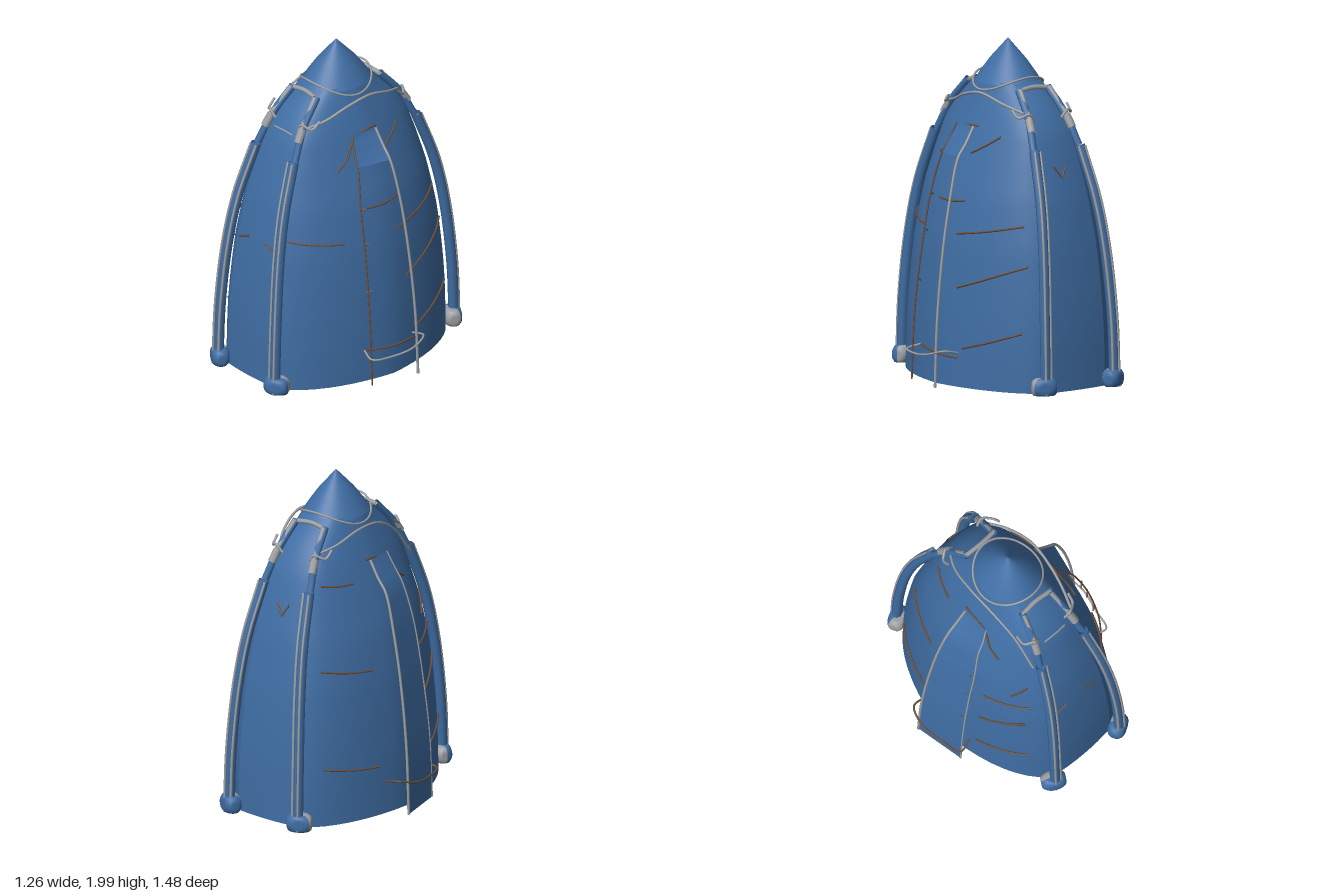
import * as THREE from 'three';

const mat = (name, color) => {
  const m = new THREE.MeshStandardMaterial({ color, side: THREE.DoubleSide });
  m.name = name;
  return m;
};
const V = (x, y, z) => new THREE.Vector3(x, y, z);

// Shell levels: height, side reach, corner x, corner z, front reach
const LEVELS = [
  [0, 0.515, 0.215, 0.645, 0.66], [0.4, 0.5, 0.21, 0.635, 0.65], [0.8, 0.465, 0.195, 0.595, 0.61],
  [1.1, 0.41, 0.175, 0.535, 0.555], [1.33, 0.335, 0.155, 0.465, 0.485], [1.5, 0.27, 0.135, 0.4, 0.42],
  [1.65, 0.21, 0.11, 0.29, 0.315], [1.75, 0.17, 0.095, 0.18, 0.205],
];
// Panel rails: height, back x, back z, front x, front z
const RAILS = [
  [0, 0.61, -0.1, 0.55, 0.2], [0.4, 0.59, -0.095, 0.53, 0.2], [0.8, 0.54, -0.085, 0.48, 0.19],
  [1.1, 0.48, -0.075, 0.425, 0.18], [1.33, 0.41, -0.06, 0.365, 0.15], [1.4, 0.355, -0.057, 0.325, 0.14],
  [1.5, 0.29, -0.05, 0.28, 0.12],
];

// Smooth interpolation of a table by its first column
function sample(table, y) {
  return table[0].slice(1).map((_, k) => {
    let i = 0;
    while (i < table.length - 2 && y > table[i + 1][0]) i++;
    const t = (y - table[i][0]) / (table[i + 1][0] - table[i][0]);
    const p = j => table[Math.max(0, Math.min(table.length - 1, j))][k + 1];
    const a = p(i - 1), b = p(i), c = p(i + 1), d = p(i + 2);
    return b + 0.5 * t * (c - a + t * (2 * a - 5 * b + 4 * c - d + t * (3 * (b - c) + d - a)));
  });
}

// Side wall: t runs from the back corner (-1) to the front corner (1)
function sidePoint(s, y, t) {
  const [sx, cx, cz] = sample(LEVELS, y), u = Math.abs(t), a = u * Math.PI / 2;
  const x = cx + (sx - cx) * (0.7 * Math.cos(a) + 0.3 * (1 - u));
  const z = cz * (0.7 * Math.sin(a) + 0.3 * u);
  return V(s * x, y, Math.sign(t) * z);
}
// Point just off the side wall at a given depth
function onSide(s, y, z) {
  let lo = -1, hi = 1;
  for (let i = 0; i < 24; i++) {
    const m = (lo + hi) / 2;
    if (sidePoint(s, y, m).z < z) lo = m; else hi = m;
  }
  const p = sidePoint(s, y, lo);
  p.x += s * 0.005;
  p.z *= 1.006;
  return p;
}
// End wall: t runs between the two corners
function endPoint(s, y, t) {
  const [, cx, cz, zf] = sample(LEVELS, y);
  return V(cx * t, y, s * (zf - (zf - cz) * t * t));
}

// Sheet from a rule fn(u, v) with outward winding chosen by flip
function sheet(fn, nu, nv, flip) {
  const pos = [], idx = [];
  for (let j = 0; j <= nv; j++) for (let i = 0; i <= nu; i++) pos.push(...fn(i / nu, j / nv).toArray());
  for (let j = 0; j < nv; j++) for (let i = 0; i < nu; i++) {
    const a = j * (nu + 1) + i, b = a + 1, c = a + nu + 1, d = c + 1;
    if (flip) idx.push(a, c, b, b, c, d); else idx.push(a, b, c, b, d, c);
  }
  const g = new THREE.BufferGeometry();
  g.setAttribute('position', new THREE.Float32BufferAttribute(pos, 3));
  g.setIndex(idx);
  g.computeVertexNormals();
  return g;
}

// Boxy rounded wedge of a foot, spanning an angle about the vertical
function footWedge(start, length) {
  const g = new THREE.SphereGeometry(1, 16, 14, start, length);
  const p = g.attributes.position;
  const clamp = (v, lo, hi) => Math.max(lo, Math.min(hi, v));
  for (let i = 0; i < p.count; i++)
    p.setXYZ(i, clamp(p.getX(i), -0.85, 0.85), clamp(p.getY(i), -0.65, 0.75), clamp(p.getZ(i), -0.85, 0.85));
  g.scale(0.085, 0.07, 0.06);
  g.computeVertexNormals();
  return g;
}

export function createModel() {
  const root = new THREE.Group();
  root.name = 'tent';
  const blue = mat('blue cloth', 0x3f6da3);
  const gray = mat('gray metal', 0x9c9ea1);
  const brown = mat('brown cord', 0x6b4d3a);
  const add = (name, geo, m) => {
    const o = new THREE.Mesh(geo, m);
    o.name = name;
    root.add(o);
    return o;
  };
  const rope = (name, pts, r, m, closed = false, seg = pts.length * 6) =>
    add(name, new THREE.TubeGeometry(new THREE.CatmullRomCurve3(pts, closed), seg, r, 8, closed), m);

  // Cloth walls
  for (const s of [1, -1]) {
    add('sideWall', sheet((u, v) => sidePoint(s, 1.75 * v, 2 * u - 1), 20, 28, s > 0), blue);
    add('endWall', sheet((u, v) => endPoint(s, 1.75 * v, 2 * u - 1), 8, 28, s < 0), blue);
  }

  // Pointed cap
  const cap = [[0.215, 1.735], [0.175, 1.79], [0.12, 1.86], [0.058, 1.925], [0, 1.985]].map(p => new THREE.Vector2(...p));
  add('cap', new THREE.LatheGeometry(cap, 40), blue).scale.x = 0.85;

  // Poles, sleeves, joints and feet at the four corners
  const pole = [[0.25, 0, 0.69], [0.245, 0.4, 0.675], [0.225, 0.8, 0.635], [0.2, 1.1, 0.575], [0.165, 1.4, 0.47]];
  const sleeve = [[0.165, 1.4, 0.46], [0.135, 1.57, 0.372], [0.105, 1.72, 0.24]];
  for (const sx of [1, -1]) for (const sz of [1, -1]) {
    const at = (dx, dz) => ([x, y, z]) => V(sx * (x + dx), y, sz * (z + dz));
    rope('pole', pole.map(at(0, 0)), 0.031, blue);
    rope('poleTrim', pole.map(at(-0.024, 0.022)), 0.008, gray);
    rope('poleTrim', pole.map(at(0.018, 0.027)), 0.007, gray);
    rope('upperPole', sleeve.map(at(0, 0)), 0.022, blue);
    rope('upperPoleTrim', sleeve.slice(1).map(at(0, 0.012)), 0.016, gray);
    rope('poleJoint', [[0.147, 1.5, 0.42], [0.135, 1.57, 0.378]].map(at(0, 0)), 0.025, gray);
    rope('jointTie', [[0.1, 1.56, 0.38], [0.14, 1.6, 0.385], [0.19, 1.58, 0.35], [0.2, 1.62, 0.3]].map(at(0, 0)), 0.008, gray);
    // Gray wedge of each foot faces outward in x and inward in z
    const wide = sz < 0 ? 3 : 1.8;
    const start = Math.atan2(-sz, -sx) - wide / 2;
    for (const [name, geo, m] of [
      ['footPlate', footWedge(start, wide), gray],
      ['foot', footWedge(start + wide, 2 * Math.PI - wide), blue],
    ]) {
      const f = add(name, geo, m);
      f.position.set(sx * 0.252, 0.045, sz * 0.675);
      f.rotation.y = sx * sz * 0.5;
    }
  }

  // Crossbars and rigging round the cap
  for (const s of [1, -1])
    rope('crossbar', [V(-0.105, 1.715, s * 0.245), V(0, 1.725, s * 0.238), V(0.105, 1.715, s * 0.245)], 0.014, gray);
  const ring = [];
  for (let i = 0; i < 16; i++) {
    const a = i * Math.PI / 8;
    ring.push(V(0.2 * Math.cos(a), 1.74 - 0.04 * Math.cos(2 * a), 0.21 * Math.sin(a)));
  }
  rope('capCord', ring, 0.006, gray, true, 64);
  rope('leftRigging', [V(0.13, 1.59, -0.37), V(0.2, 1.64, -0.23), V(0.235, 1.69, -0.05), V(0.225, 1.66, 0.12), V(0.2, 1.61, 0.25), V(0.16, 1.58, 0.37)], 0.008, gray);
  rope('rightRigging', [V(-0.12, 1.59, -0.38), V(-0.19, 1.63, -0.25), V(-0.22, 1.68, -0.08), V(-0.22, 1.67, 0.1), V(-0.205, 1.57, 0.28), V(-0.2, 1.38, 0.44)], 0.007, gray);

  // Side canopies: full cloth on the right, only the top flap on the left
  const canopy = (s, y0) => sheet((u, v) => {
    const y = y0 + (1.5 - y0) * v, [xb, zb, xf, zf] = sample(RAILS, y);
    return V(s * (xb + (xf - xb) * u), y, zb + (zf - zb) * u);
  }, 4, 24, s > 0);
  add('rightCanopy', canopy(-1, 0), blue);
  add('leftFlap', canopy(1, 1.33), blue);
  for (const s of [1, -1]) {
    rope('backRail', RAILS.map(r => V(s * r[1], r[0], r[2])), 0.008, gray);
    rope('frontRail', RAILS.map(r => V(s * r[3], r[0], r[4])), 0.005, s > 0 ? brown : gray);
    rope('canopyCord', [onSide(s, 0.2, -0.16), V(s * 0.59, 0.22, -0.16), V(s * 0.625, 0.19, -0.05), V(s * 0.6, 0.17, 0.1), V(s * 0.57, 0.18, 0.22), onSide(s, 0.2, 0.2)], 0.006, s > 0 ? gray : brown);
    rope('canopyTopCord', [onSide(s, 1.31, 0.25), onSide(s, 1.36, 0.18), onSide(s, 1.47, 0.1), onSide(s, 1.5, 0), onSide(s, 1.5, -0.07)], 0.006, brown);
    for (const y of [0.58, 0.87, 1.08]) {
      const [, , xf, zf] = sample(RAILS, y);
      rope('railTie', [V(s * (xf - 0.02), y, zf), V(s * (xf + 0.01), y + 0.01, zf - 0.03)], 0.005, brown);
    }
  }

  // Cords lying on the side walls: start height and depth, end height and depth
  const cords = [[0.89, 0.28, 0.93, 0.56], [0.89, -0.09, 0.97, -0.5], [0.58, -0.13, 0.74, -0.55],
    [0.23, -0.19, 0.35, -0.55], [1.35, -0.07, 1.46, -0.25], [1.07, 0.12, 1.08, -0.11], [0.2, 0.2, 0.17, -0.16]];
  const rightCords = [[0.89, 0.24, 0.95, 0.5], [0.59, 0.24, 0.75, 0.5], [0.25, 0.24, 0.35, 0.54],
    [1.03, 0.39, 1.15, 0.45], [1.4, -0.2, 1.42, -0.39], [0.89, -0.2, 0.94, -0.5], [0.3, -0.2, 0.35, -0.54]];
  for (const [s, list] of [[1, cords], [-1, rightCords]])
    for (const [y0, z0, y1, z1] of list) {
      const pts = [];
      for (let i = 0; i <= 6; i++) {
        const t = i / 6;
        pts.push(onSide(s, y0 + (y1 - y0) * t - 0.006 * Math.sin(Math.PI * t), z0 + (z1 - z0) * t));
      }
      rope('wallCord', pts, 0.006, brown);
    }

  // Small cords on the end walls
  const onEnd = (s, y, t) => endPoint(s, y, t).add(V(0, 0, s * 0.004));
  rope('frontCord', [onEnd(1, 0.83, -0.9), onEnd(1, 0.87, -0.4)], 0.005, brown);
  rope('frontCord', [onEnd(1, 0.87, 0.3), onEnd(1, 0.84, 0.8)], 0.005, brown);
  rope('frontSeam', [onEnd(1, 1.52, -0.6), onEnd(1, 1.525, 0), onEnd(1, 1.52, 0.6)], 0.005, gray);
  for (const t of [-0.25, 0.3])
    rope('backCord', [onEnd(-1, 1.23, 0), onEnd(-1, 1.3, t)], 0.005, brown);
  return root;
}
